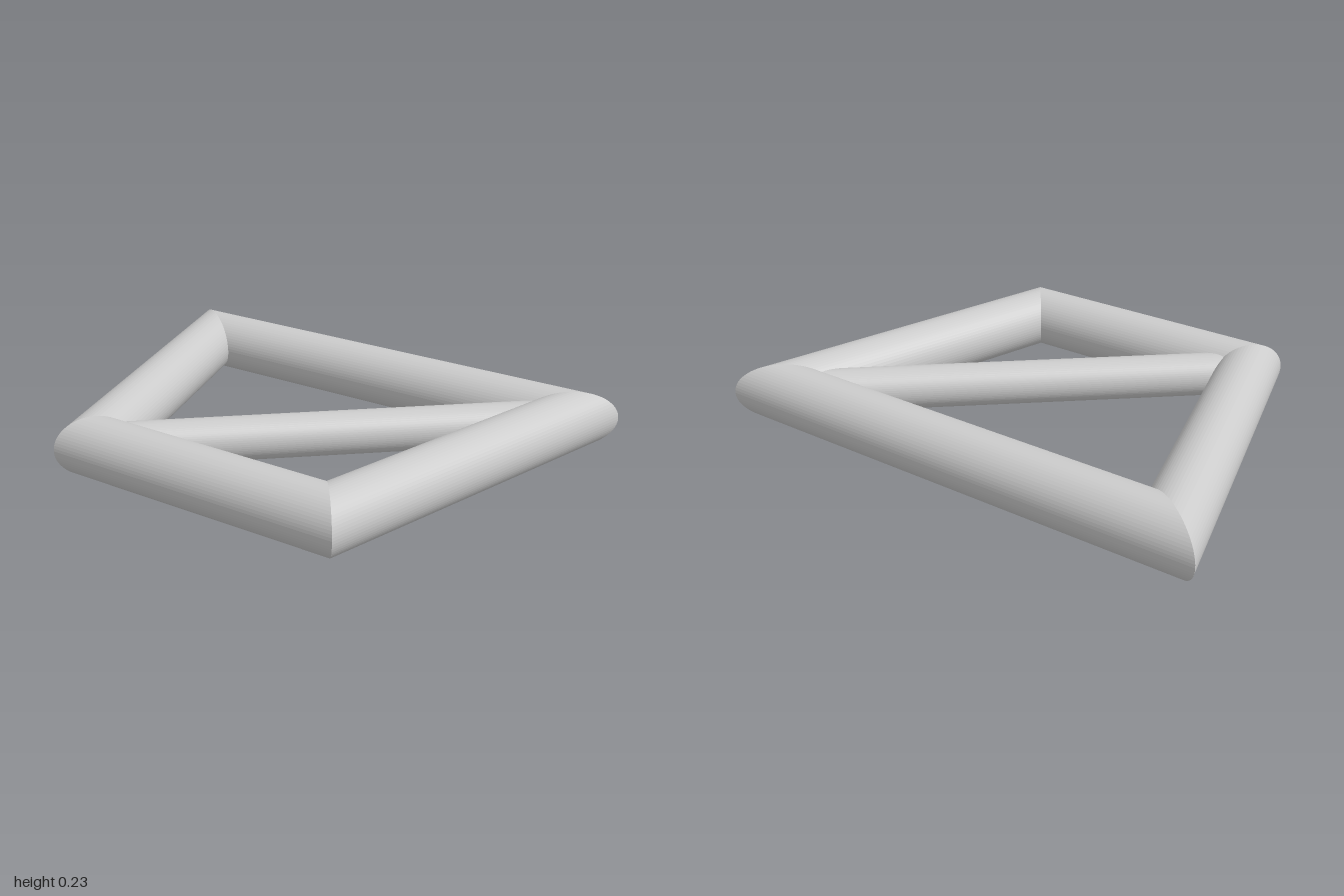
import * as THREE from 'three';

const R = 0.117;       // frame tube radius, also the axis height
const BRACE_R = 0.083; // diagonal tube radius
const SIDES = 64;

const material = new THREE.MeshStandardMaterial({ color: 0xcccccc, flatShading: true });

// Tube from a to b in plan (x, z); each end is sheared by a slope so it can meet a mitre plane.
function bar(name, a, b, radius, startSlope = 0, endSlope = 0, open = false) {
  const d = b.clone().sub(a);
  const length = d.length();
  const geometry = new THREE.CylinderGeometry(radius, radius, 1, SIDES, 1, open);
  geometry.rotateZ(-Math.PI / 2);
  const p = geometry.attributes.position;
  for (let i = 0; i < p.count; i++) {
    const s = p.getZ(i);
    p.setX(i, p.getX(i) < 0 ? startSlope * s : length + endSlope * s);
  }
  geometry.rotateY(Math.atan2(-d.y, d.x));
  geometry.translate(a.x, R, a.y);
  const mesh = new THREE.Mesh(geometry, material);
  mesh.name = name;
  return mesh;
}

// Slope of a bar's end cut, for bar direction d at the corner between directions u and v
function mitre(d, u, v) {
  const plane = u.clone().add(v);
  return -(-d.y * plane.x + d.x * plane.y) / d.dot(plane);
}

export function createModel() {
  const group = new THREE.Group();
  group.name = 'bracedFrame';

  // Trapezoid of tube axes
  const corners = [[-0.845, -0.591], [0.845, -0.591], [0.505, 0.588], [-0.505, 0.588]]
    .map(([x, z]) => new THREE.Vector2(x, z));
  const names = ['backBar', 'leftBar', 'frontBar', 'rightBar'];
  const n = corners.length;
  const dirs = corners.map((c, i) => corners[(i + 1) % n].clone().sub(c).normalize());

  // Mitred frame bars
  names.forEach((name, i) => {
    const d = dirs[i], before = dirs[(i + n - 1) % n], after = dirs[(i + 1) % n];
    group.add(bar(name, corners[i], corners[(i + 1) % n], R,
      mitre(d, before, d), mitre(d, d, after), true));
  });

  // Thinner diagonal brace running into two opposite corners
  group.add(bar('diagonalBrace', corners[3], corners[1], BRACE_R));
  return group;
}
